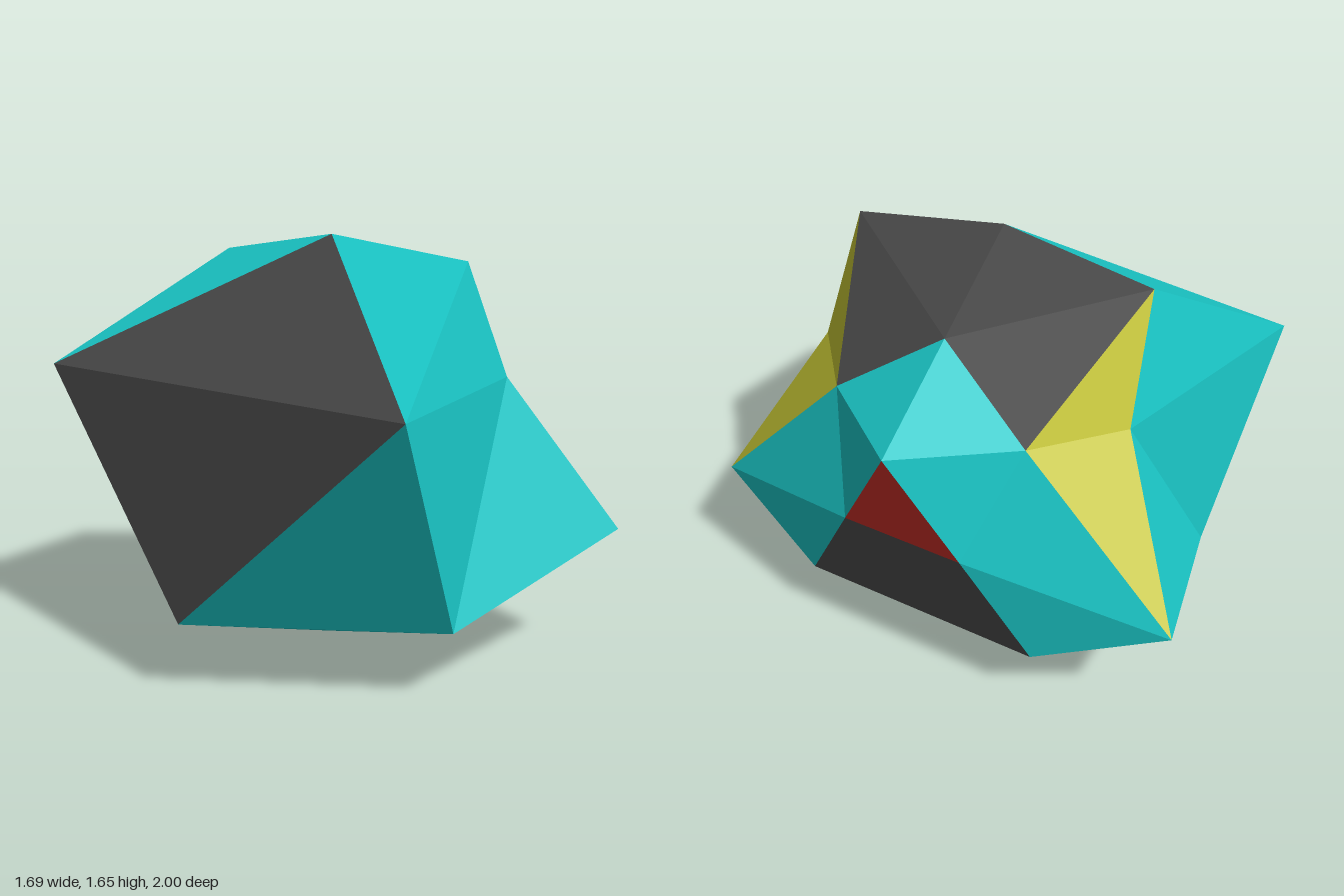
import * as THREE from 'three';

// Corners of the half with z >= 0; the other half is mirrored.
const P = {
  top: [0, 1.65, 0],
  brow: [0.04, 1.57, 0.62],
  forehead: [0.425, 1.387, 0],
  noseTip: [0.845, 1.125, 0],
  lip: [0.765, 0.705, 0.25],
  eyeInner: [0.555, 1.127, 0.4],
  eyeOuter: [0.26, 1.125, 0.66],
  cheek: [0.565, 0.52, 1],
  chin: [0.685, 0.28, 0.5],
  jaw: [-0.26, 0.28, 0.805],
  nape: [-0.685, 1.125, 0.905],
  back: [-0.845, 0.28, 0],
  base: [0, 0, 0],
};
const centre = new THREE.Vector3(0, 0.8, 0);

// A leading "-" picks the mirrored corner.
function corner(key) {
  const mirrored = key[0] === '-';
  const [x, y, z] = P[mirrored ? key.slice(1) : key];
  return new THREE.Vector3(x, y, mirrored ? -z : z);
}

// Builds flat triangles, each wound to face away from the centre.
function facets(name, color, faces, mirror) {
  const points = [];
  for (const face of faces) {
    for (const side of mirror ? [1, -1] : [1]) {
      const tri = face.split(' ').map(corner);
      tri.forEach((p) => { p.z *= side; });
      const [a, b, c] = tri;
      const normal = b.clone().sub(a).cross(c.clone().sub(a));
      const out = a.clone().add(b).add(c).divideScalar(3).sub(centre);
      points.push(...(normal.dot(out) < 0 ? [a, c, b] : [a, b, c]));
    }
  }
  const geometry = new THREE.BufferGeometry().setFromPoints(points);
  geometry.computeVertexNormals();
  const material = new THREE.MeshStandardMaterial({ color, flatShading: true });
  const mesh = new THREE.Mesh(geometry, material);
  mesh.name = name;
  return mesh;
}

export function createModel() {
  const teal = 0x1bcaca, dark = 0x484848, yellow = 0xc6c634, red = 0xc02c26;
  const head = new THREE.Group();
  head.name = 'facetedHead';
  head.add(
    // Sides, from the crown down to the jaw
    facets('sides', teal, [
      'top nape brow', 'brow nape eyeOuter', 'nape jaw eyeOuter',
      'jaw cheek eyeOuter', 'jaw chin cheek', 'nape back jaw', 'back base jaw',
    ], true),
    // Muzzle
    facets('muzzle', teal, [
      'forehead eyeInner noseTip', 'eyeInner lip noseTip',
      'eyeInner cheek lip', 'cheek chin lip',
    ], true),
    // Eye stripes
    facets('eyeStripes', yellow, ['brow eyeOuter eyeInner', 'eyeOuter cheek eyeInner'], true),
    // Dark forehead
    facets('forehead', dark, ['top brow forehead', 'brow eyeInner forehead'], true),
    // Dark back of the head
    facets('backOfHead', dark, ['top nape -nape', 'nape -nape back'], false),
    // Dark chin and underside
    facets('chin', dark, ['lip chin -chin', 'lip -chin -lip', 'chin -chin base'], false),
    facets('underside', dark, ['jaw chin base'], true),
    // Red nose
    facets('nose', red, ['noseTip lip -lip'], false),
  );
  return head;
}
